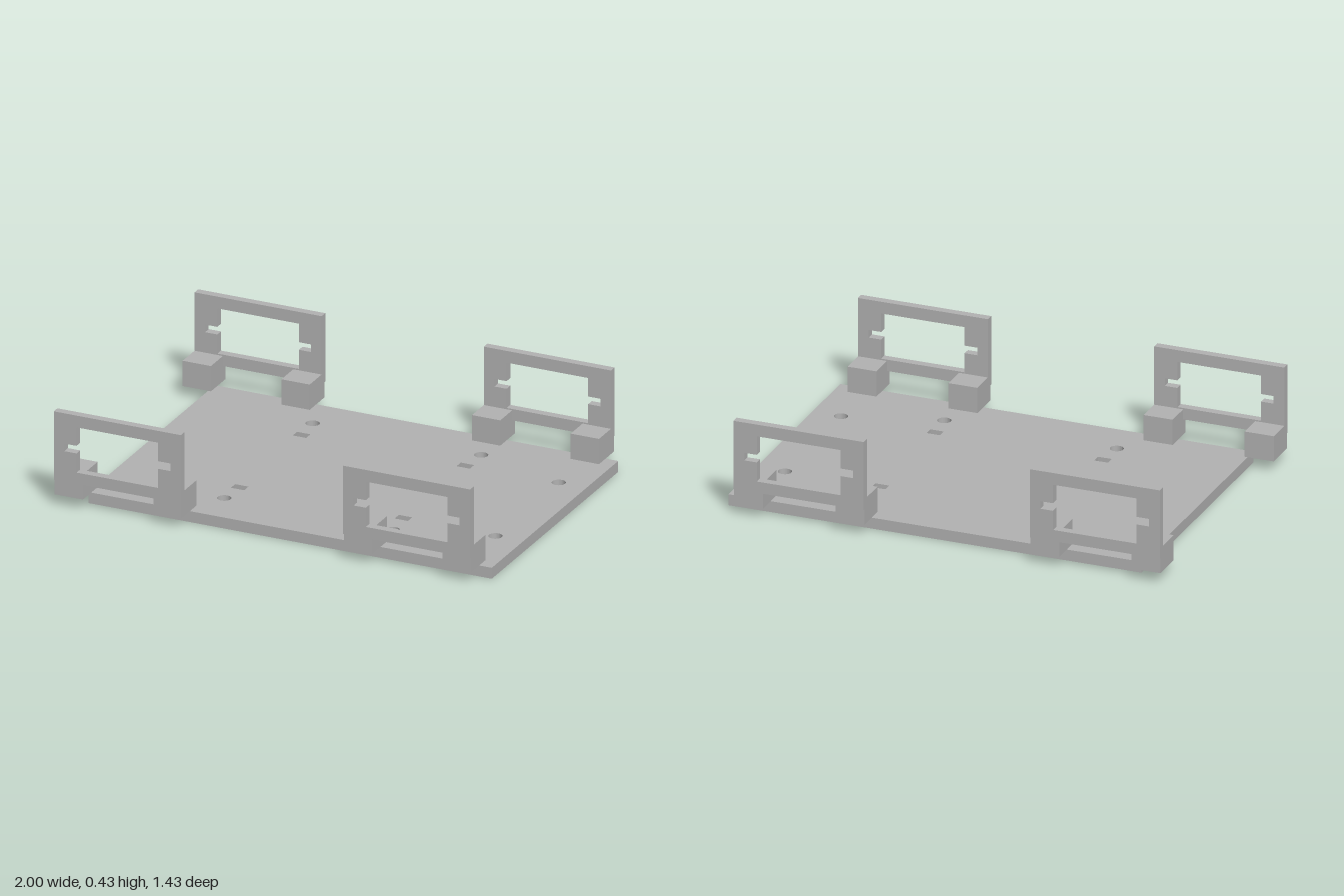
import * as THREE from 'three';

const grey = new THREE.MeshStandardMaterial({ color: 0xb2b2b2 });
grey.name = 'grey';

const polygon = (points, Type = THREE.Shape) =>
  new Type(points.map(([x, y]) => new THREE.Vector2(x, y)));

const rect = (x0, y0, x1, y1, Type) =>
  polygon([[x0, y0], [x1, y0], [x1, y1], [x0, y1]], Type);

const extrude = (shape, depth) =>
  new THREE.ExtrudeGeometry(shape, { depth, bevelEnabled: false, curveSegments: 16 });

function addMesh(parent, name, geometry) {
  const mesh = new THREE.Mesh(geometry, grey);
  mesh.name = name;
  parent.add(mesh);
  return mesh;
}

// Flat base with screw holes and cable slots, mirrored front to back
function basePlate(parent) {
  const shape = rect(-0.88, -0.625, 1, 0.625);
  for (const side of [-1, 1]) {
    for (const [x, z] of [[-0.335, 0.437], [0.45, 0.437], [0.87, 0.313]]) {
      const hole = new THREE.Path();
      hole.absarc(x, side * z, 0.03, 0, Math.PI * 2, true);
      shape.holes.push(hole);
    }
    for (const x of [-0.325, 0.438]) {
      const z = side * 0.306;
      shape.holes.push(rect(x - 0.031, z - 0.021, x + 0.031, z + 0.021, THREE.Path));
    }
  }
  const plate = addMesh(parent, 'basePlate', extrude(shape, 0.05));
  plate.rotation.x = Math.PI / 2;
  plate.position.y = 0.05;
}

// Upright motor frame on two feet, outer face towards +z
function motorMount(name) {
  const mount = new THREE.Group();
  mount.name = name;

  // Frame with a window and a small notch on each side of it
  const shape = rect(-0.296, 0.12, 0.296, 0.434);
  const w = 0.19, n = 0.247;
  shape.holes.push(polygon([
    [-w, 0.172], [w, 0.172], [w, 0.26], [n, 0.26], [n, 0.295], [w, 0.295],
    [w, 0.38], [-w, 0.38], [-w, 0.295], [-n, 0.295], [-n, 0.26], [-w, 0.26],
  ], THREE.Path));
  addMesh(mount, 'frame', extrude(shape, 0.036)).position.z = 0.678;

  // Feet: a lower block under the frame and an upper step behind it
  const profile = polygon([
    [0.56, 0.05], [0.706, 0.05], [0.706, 0.12], [0.678, 0.12], [0.678, 0.166], [0.56, 0.166],
  ]);
  for (const side of [-1, 1]) {
    const foot = addMesh(mount, 'foot', extrude(profile, 0.132));
    foot.rotation.y = -Math.PI / 2;
    foot.position.x = side * 0.23 + 0.066;
  }
  return mount;
}

export function createModel() {
  const model = new THREE.Group();
  model.name = 'chassis';
  basePlate(model);
  for (const x of [-0.703, 0.645]) {
    const front = motorMount('frontMount');
    front.position.x = x;
    const back = motorMount('backMount');
    back.position.x = x;
    back.rotation.y = Math.PI;
    model.add(front, back);
  }
  return model;
}
